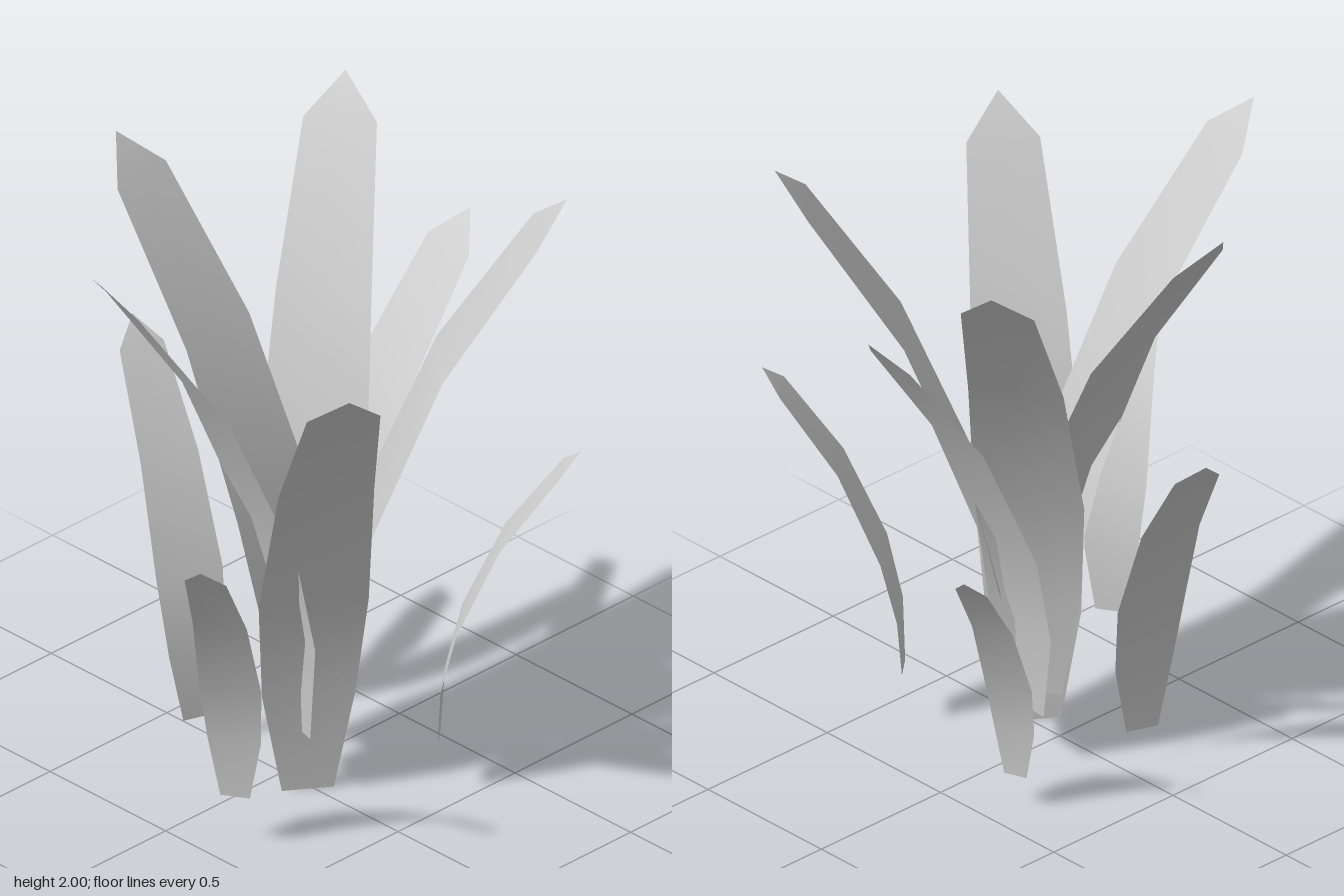
import * as THREE from 'three';

// Shared blade outline as fractions of reach and height; width in units of height
const ROWS = [
  // outward, up, width
  [0, 0, 0.09],
  [0.025, 0.195, 0.162],
  [0.14, 0.4, 0.19],
  [0.445, 0.69, 0.165],
  [0.86, 0.935, 0.127],
  [1, 1, 0],
];

// Each leaf: name, middle of the base edge, tip
const LEAVES = [
  ['tallFrontLeaf', [0.095, 0.21, 0.03], [-0.1, 2, 0.72]],
  ['tallLeftLeaf', [0.125, 0, 0.015], [0.73, 1.79, 0.435]],
  ['tallBackLeftLeaf', [0.115, 0.21, -0.12], [0.58, 2, -0.645]],
  ['tallBackRightLeaf', [-0.02, 0.21, -0.12], [-0.445, 2, -0.71]],
  ['tallRightLeaf', [0.055, 0.21, -0.02], [-0.675, 2, 0.045]],
  ['middleBackLeaf', [-0.03, 0.17, -0.155], [0.02, 1.68, -0.785]],
  ['smallFrontLeaf', [0.22, 0.18, 0.42], [0.44, 1.21, 0.785]],
  ['smallLeftLeaf', [0.4, 0.18, -0.275], [0.73, 1.21, -0.555]],
  ['smallRightLeaf', [-0.28, 0.11, 0.08], [-0.73, 1.28, -0.08]],
  ['smallBackLeaf', [-0.22, 0.11, -0.395], [-0.335, 0.96, -0.72]],
];

// Thin arching blade built from left / middle / right points on each row
function leafGeometry(base, tip) {
  const out = new THREE.Vector3(tip[0] - base[0], 0, tip[2] - base[2]);
  const height = tip[1] - base[1];
  const side = new THREE.Vector3(out.z, 0, -out.x).normalize();
  const positions = [];
  const index = [];
  const last = ROWS.length - 1;

  ROWS.forEach(([reach, up, width], row) => {
    const columns = row === last ? [0] : [-0.5, 0, 0.5];
    for (const c of columns) {
      const p = new THREE.Vector3(...base)
        .addScaledVector(out, reach)
        .addScaledVector(side, c * width * height);
      positions.push(p.x, p.y + up * height, p.z);
    }
  });

  for (let row = 0; row < last; row++) {
    for (let c = 0; c < 2; c++) {
      const a = row * 3 + c;
      if (row === last - 1) index.push(a, a + 1, last * 3);
      else index.push(a, a + 1, a + 4, a, a + 4, a + 3);
    }
  }

  const geometry = new THREE.BufferGeometry();
  geometry.setAttribute('position', new THREE.Float32BufferAttribute(positions, 3));
  geometry.setIndex(index);
  geometry.computeVertexNormals();
  return geometry;
}

export function createModel() {
  const plant = new THREE.Group();
  plant.name = 'leafyPlant';
  const material = new THREE.MeshStandardMaterial({ color: 0xcccccc, side: THREE.DoubleSide });

  for (const [name, base, tip] of LEAVES) {
    const leaf = new THREE.Mesh(leafGeometry(base, tip), material);
    leaf.name = name;
    plant.add(leaf);
  }
  return plant;
}
